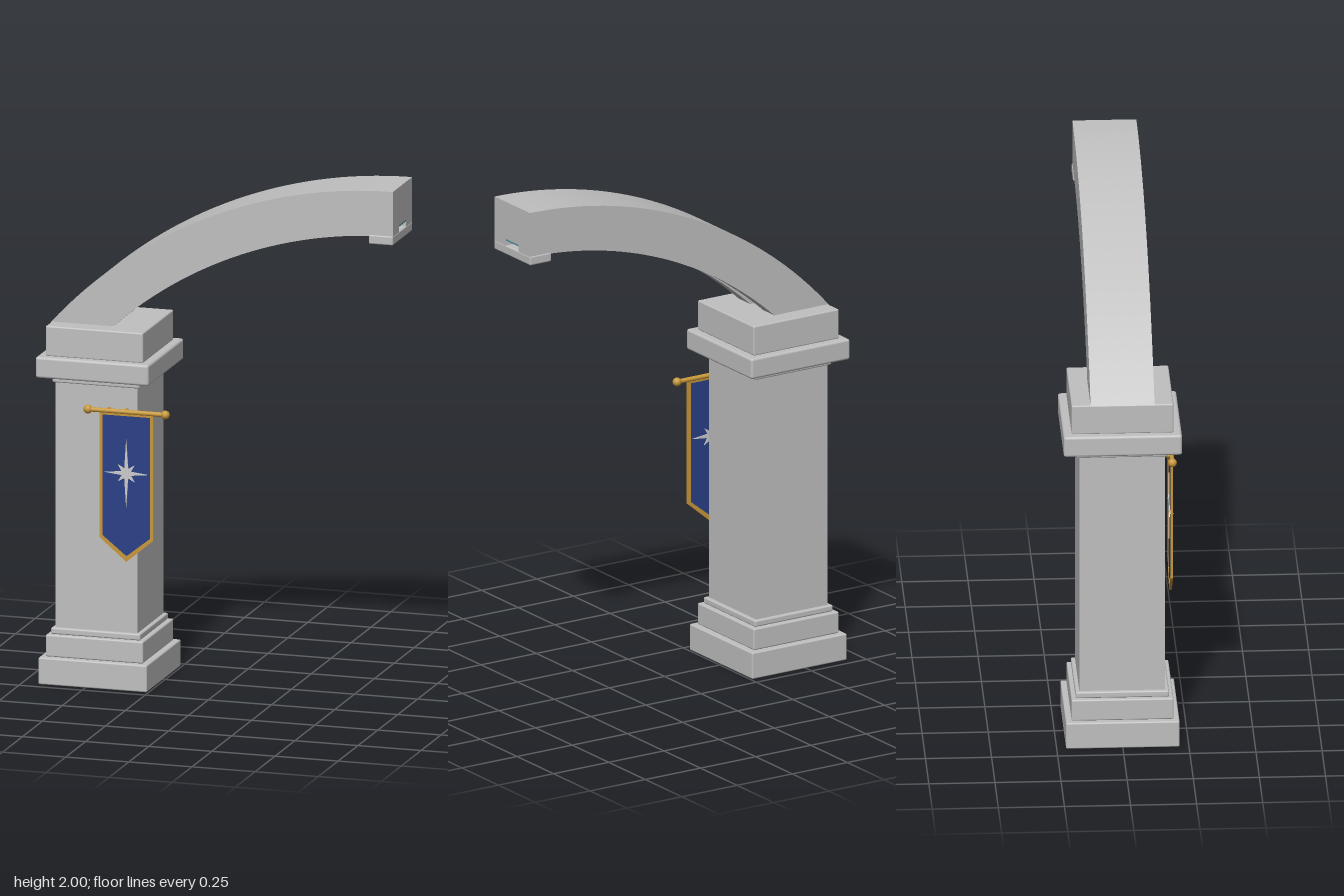
import * as THREE from 'three';
import { toCreasedNormals } from 'three/addons/utils/BufferGeometryUtils.js';
import { RoundedBoxGeometry } from 'three/addons/geometries/RoundedBoxGeometry.js';

const material = (name, color) => {
  const m = new THREE.MeshStandardMaterial({ color });
  m.name = name;
  return m;
};

export function createModel() {
  const stone = material('stone', 0xc0c0c0);
  const teal = material('teal', 0x4a8f99);
  const blue = material('blue cloth', 0x2a4088);
  const gold = material('gold', 0xc8983a);
  const silver = material('silver', 0xcccccc);

  const model = new THREE.Group();
  model.name = 'bannerArch';

  function add(parent, name, geometry, mat, x = 0, y = 0, z = 0) {
    const mesh = new THREE.Mesh(geometry, mat);
    mesh.name = name;
    mesh.position.set(x, y, z);
    parent.add(mesh);
    return mesh;
  }

  // Extrudes a shape so that it is centred on z = 0
  function slab(shape, depth) {
    const g = new THREE.ExtrudeGeometry(shape, { depth, bevelEnabled: false });
    return toCreasedNormals(g.translate(0, 0, -depth / 2), 0.3);
  }

  // Pillar: stacked square courses [name, bottom, top, half width, edge radius]
  const pillar = new THREE.Group();
  pillar.name = 'pillar';
  pillar.position.x = -0.47;
  model.add(pillar);
  [
    ['plinth', 0, 0.105, 0.215, 0.006],
    ['upperPlinth', 0.105, 0.19, 0.193, 0.006],
    ['baseMoulding', 0.19, 0.215, 0.177, 0.006],
    ['shaft', 0.21, 1.18, 0.162, 0],
    ['neckMoulding', 1.17, 1.195, 0.173, 0.006],
    ['capital', 1.195, 1.277, 0.224, 0.01],
    ['abacus', 1.275, 1.393, 0.193, 0.006],
  ].forEach(([name, y0, y1, half, r]) => {
    const g = r
      ? new RoundedBoxGeometry(half * 2, y1 - y0, half * 2, 2, r)
      : new THREE.BoxGeometry(half * 2, y1 - y0, half * 2);
    add(pillar, name, g, stone, 0, (y0 + y1) / 2, 0);
  });

  // Half arch: concentric arcs, cut level at the pillar top
  const cx = 0.69, cy = 0.19, footY = 1.39, outerR = 1.81, innerR = 1.635;
  function arcBand(r0, r1) {
    const pts = [];
    const steps = 32;
    const arc = (r, i) => {
      const foot = Math.PI - Math.asin((footY - cy) / r);
      const a = foot + (Math.PI / 2 - foot) * (i / steps);
      pts.push(new THREE.Vector2(cx + r * Math.cos(a), cy + r * Math.sin(a)));
    };
    for (let i = 0; i <= steps; i++) arc(r0, i);
    for (let i = steps; i >= 0; i--) arc(r1, i);
    return new THREE.Shape(pts);
  }
  const arch = new THREE.Group();
  arch.name = 'arch';
  model.add(arch);
  const halfDepth = 0.121, grooveHalf = 0.043, grooveTop = innerR + 0.027;
  const rib = halfDepth - grooveHalf;
  for (const s of [-1, 1]) {
    add(arch, 'archSide', slab(arcBand(innerR, outerR), rib), stone, 0, 0, s * (grooveHalf + rib / 2));
  }
  add(arch, 'archCore', slab(arcBand(grooveTop, outerR), grooveHalf * 2), stone);
  add(arch, 'grooveInlay', slab(arcBand(grooveTop - 0.006, grooveTop), grooveHalf * 2), teal);
  add(arch, 'endLip', new RoundedBoxGeometry(0.097, 0.036, 0.248, 2, 0.006), stone, 0.6425, 1.809, 0);

  // Hanging banner
  const banner = new THREE.Group();
  banner.name = 'banner';
  banner.position.set(-0.34, 0, 0.197);
  model.add(banner);

  const pennant = (half, top, shoulder, tip) => [
    new THREE.Vector2(-half, top), new THREE.Vector2(-half, shoulder), new THREE.Vector2(0, tip),
    new THREE.Vector2(half, shoulder), new THREE.Vector2(half, top),
  ];
  const inner = pennant(0.094, 1.068, 0.597, 0.522);
  const border = new THREE.Shape(pennant(0.107, 1.08, 0.59, 0.5));
  border.holes.push(new THREE.Path(inner));
  add(banner, 'bannerBorder', slab(border, 0.01), gold);
  add(banner, 'bannerCloth', slab(new THREE.Shape(inner), 0.006), blue);

  // Eight-pointed star, showing on both faces
  const starPts = [];
  for (let i = 0; i < 16; i++) {
    const a = (i * Math.PI) / 8;
    const r = i % 2 ? 0.02 : i % 4 ? 0.047 : i % 8 ? 0.135 : 0.086;
    starPts.push(new THREE.Vector2(r * Math.cos(a), r * Math.sin(a)));
  }
  add(banner, 'star', slab(new THREE.Shape(starPts), 0.014), silver, 0, 0.845, 0);

  // Rod with ball ends and wall brackets
  const rodY = 1.083;
  add(banner, 'rod', new THREE.CylinderGeometry(0.009, 0.009, 0.306, 16), gold, 0, rodY, 0)
    .rotation.z = Math.PI / 2;
  for (const s of [-1, 1]) {
    add(banner, 'rodFinial', new THREE.SphereGeometry(0.017, 16, 12), gold, s * 0.153, rodY, 0);
  }
  for (const x of [-0.08, -0.01]) {
    add(banner, 'rodBracket', new THREE.CylinderGeometry(0.007, 0.007, 0.045, 12), gold, x, rodY, -0.02)
      .rotation.x = Math.PI / 2;
  }

  return model;
}
